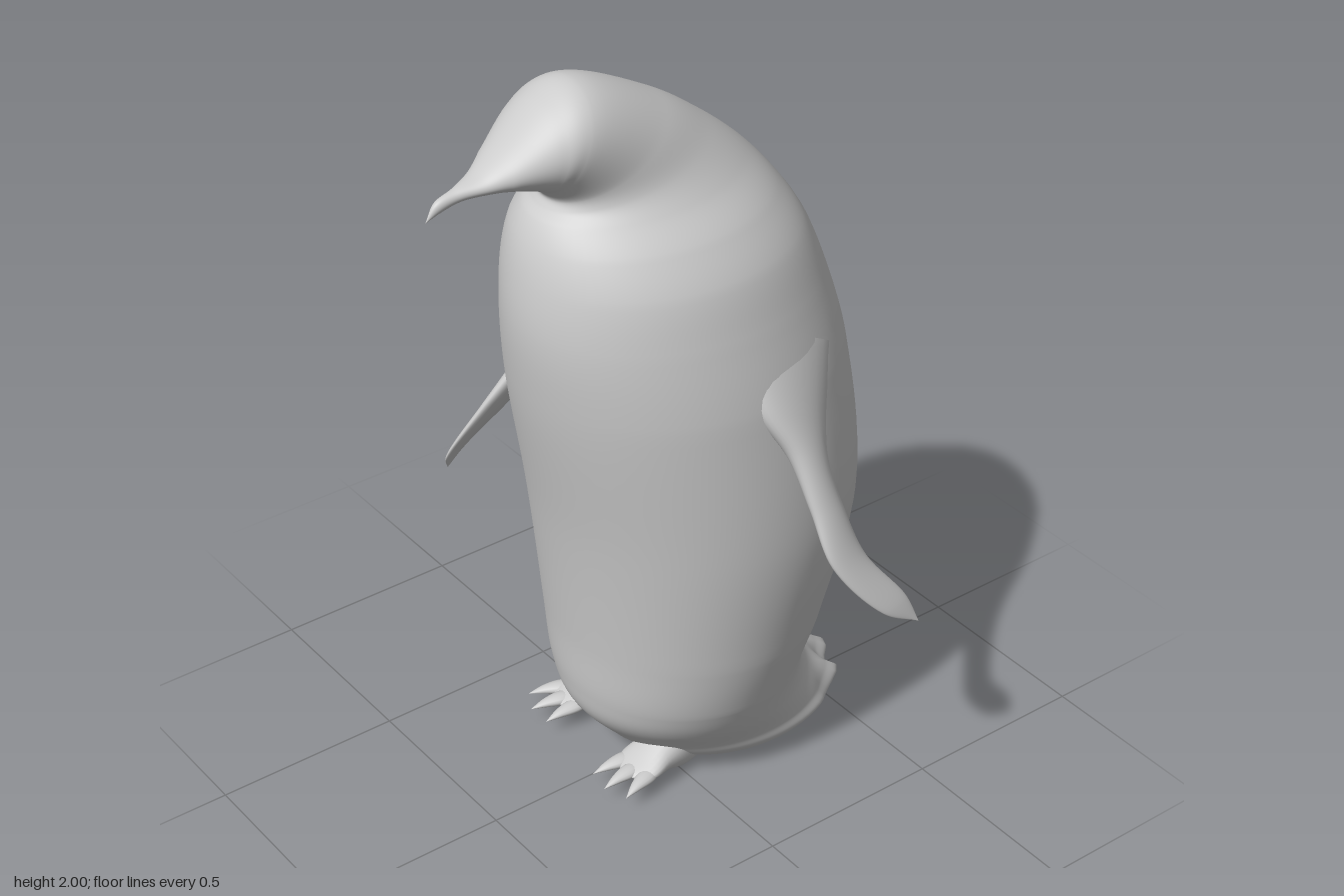
import * as THREE from 'three';

const V = (x, y, z) => new THREE.Vector3(x, y, z);
const smooth = THREE.MathUtils.smoothstep;

// Smooth closed loft. Each section is [a, b, halfWidth]: an elliptical ring whose
// main axis runs from b to a and whose other axis points along `side`.
function loft(name, sections, side, { rows = 60, cols = 40, tweak } = {}) {
  const curve = pts => new THREE.CatmullRomCurve3(pts);
  const aCurve = curve(sections.map(s => s[0]));
  const bCurve = curve(sections.map(s => s[1]));
  const wCurve = curve(sections.map((s, i) => V(s[2], i * 0.1, 0)));
  const dir = side.clone().normalize();
  const pos = [], index = [];
  for (let i = 0; i <= rows; i++) {
    const t = i / rows;
    const a = aCurve.getPoint(t), b = bCurve.getPoint(t);
    const w = Math.max(0, wCurve.getPoint(t).x);
    const mid = a.clone().add(b).multiplyScalar(0.5);
    const half = a.clone().sub(mid);
    for (let j = 0; j < cols; j++) {
      const ang = (j / cols) * Math.PI * 2;
      const p = mid.clone()
        .addScaledVector(half, Math.cos(ang))
        .addScaledVector(dir, w * Math.sin(ang));
      if (tweak) tweak(p);
      pos.push(p.x, p.y, p.z);
      if (i < rows) {
        const k = (j + 1) % cols, r = i * cols, n = r + cols;
        index.push(r + j, r + k, n + k, r + j, n + k, n + j);
      }
    }
  }
  const geo = new THREE.BufferGeometry();
  geo.setAttribute('position', new THREE.Float32BufferAttribute(pos, 3));
  geo.setIndex(index);
  geo.computeVertexNormals();
  const mesh = new THREE.Mesh(geo, new THREE.MeshStandardMaterial({ color: 0xcccccc }));
  mesh.name = name;
  return mesh;
}

// Body, head and beak in one skin: [front z, front y, back z, back y, half width]
function makeBody() {
  const rings = [
    [-0.22, 0.03, -0.22, 0.03, 0],
    [0.0, 0.02, -0.49, 0.03, 0.215],
    [0.08, 0.06, -0.58, 0.055, 0.26],
    [0.13, 0.11, -0.54, 0.1, 0.27],
    [0.2, 0.2, -0.455, 0.19, 0.305],
    [0.22, 0.28, -0.425, 0.28, 0.335],
    [0.235, 0.45, -0.465, 0.45, 0.375],
    [0.28, 0.8, -0.55, 0.8, 0.41],
    [0.355, 1.2, -0.51, 1.2, 0.383],
    [0.375, 1.4, -0.455, 1.4, 0.343],
    [0.365, 1.53, -0.4, 1.54, 0.314],
    [0.343, 1.62, -0.335, 1.64, 0.268],
    [0.315, 1.675, -0.265, 1.72, 0.213],
    [0.29, 1.7, -0.16, 1.81, 0.174],
    [0.28, 1.72, -0.03, 1.9, 0.155],
    [0.3, 1.745, 0.2, 2.0, 0.143],
    [0.32, 1.757, 0.29, 1.97, 0.128],
    [0.4, 1.782, 0.41, 1.873, 0.077],
    [0.45, 1.787, 0.46, 1.837, 0.046],
    [0.51, 1.785, 0.52, 1.817, 0.02],
    [0.56, 1.773, 0.573, 1.799, 0.012],
    [0.6, 1.757, 0.6, 1.757, 0],
  ];
  // The chest leans slightly to one side of the feet and head
  const lean = y => -0.04 + 0.03 * smooth(y, 0, 1.3) * (1 - smooth(y, 1.4, 1.75));
  const sections = rings.map(([fz, fy, bz, by, w]) => {
    const x = lean((fy + by) / 2);
    return [V(x, fy, fz), V(x, by, bz), w];
  });
  // Ragged tail feathers along the low rear edge
  const tweak = p => {
    const fade = smooth(-p.z, 0.34, 0.54) * (1 - smooth(p.y, 0.06, 0.16));
    const wave = Math.cos(57 * (p.x + 0.01));
    p.z -= 0.016 * wave * fade;
    p.y += 0.008 * wave * fade;
  };
  return loft('body', sections, V(1, 0, 0), { rows: 210, cols: 72, tweak });
}

// Flipper from leading and trailing edge points, rooted in the shoulder and
// thinning to a closed tip
function makeFlipper(name, edges, side) {
  const last = edges.length - 1;
  return loft(name, edges.map(([lead, trail], i) =>
    [V(...lead), V(...trail), 0.055 * (1 - i / last)]), side, { cols: 28 });
}

// Foot pointing along +z, with three short clawed toes
function makeFoot(name, x, z, turn) {
  const foot = new THREE.Group();
  foot.name = name;
  const build = (part, rows, opts) => loft(part,
    rows.map(([zz, top, bottom, w]) => [V(0, top, zz), V(0, bottom, zz), w]), V(-1, 0, 0), opts);
  foot.add(build('instep', [
    [-0.1, 0.06, 0.06, 0], [-0.06, 0.11, 0.015, 0.045], [0, 0.15, 0.004, 0.06],
    [0.06, 0.125, 0.025, 0.062], [0.13, 0.082, 0.042, 0.064], [0.18, 0.055, 0.055, 0],
  ], { rows: 30, cols: 24 }));
  for (const s of [-1, 0, 1]) {
    const toe = build('toe', [
      [0, 0.07, 0.05, 0.014], [0.05, 0.075, 0.044, 0.024],
      [0.1, 0.066, 0.046, 0.014], [0.14, 0.047, 0.047, 0],
    ], { rows: 20, cols: 14 });
    toe.position.set(s * 0.034, 0, s ? 0.085 : 0.1);
    toe.rotation.y = s * 0.22;
    foot.add(toe);
  }
  foot.position.set(x, 0, z);
  foot.rotation.y = turn;
  return foot;
}

export function createModel() {
  const model = new THREE.Group();
  model.name = 'penguin';
  model.add(makeBody());

  // Left flipper swept back, right flipper swung forward
  model.add(makeFlipper('leftFlipper', [
    [[0.27, 1.4, -0.02], [0.27, 1.26, -0.32]],
    [[0.36, 1.22, -0.035], [0.355, 1.11, -0.24]],
    [[0.42, 1.1, -0.09], [0.405, 1.03, -0.21]],
    [[0.475, 0.97, -0.112], [0.46, 0.93, -0.218]],
    [[0.535, 0.83, -0.132], [0.515, 0.81, -0.25]],
    [[0.595, 0.68, -0.245], [0.575, 0.685, -0.335]],
    [[0.605, 0.615, -0.355], [0.605, 0.615, -0.355]],
  ], V(-0.87, -0.45, 0.19)));
  model.add(makeFlipper('rightFlipper', [
    [[-0.27, 1.36, 0.06], [-0.27, 1.4, -0.24]],
    [[-0.35, 1.2, 0.035], [-0.365, 1.24, -0.16]],
    [[-0.405, 1.1, 0.04], [-0.43, 1.12, -0.085]],
    [[-0.45, 0.99, 0.095], [-0.48, 1, -0.035]],
    [[-0.5, 0.86, 0.175], [-0.53, 0.86, 0.045]],
    [[-0.575, 0.7, 0.237], [-0.598, 0.71, 0.155]],
    [[-0.605, 0.645, 0.215], [-0.605, 0.645, 0.215]],
  ], V(-0.87, 0.45, 0.2)));

  model.add(makeFoot('leftFoot', 0.09, 0, 0.08));
  model.add(makeFoot('rightFoot', -0.21, -0.03, -0.25));
  return model;
}
